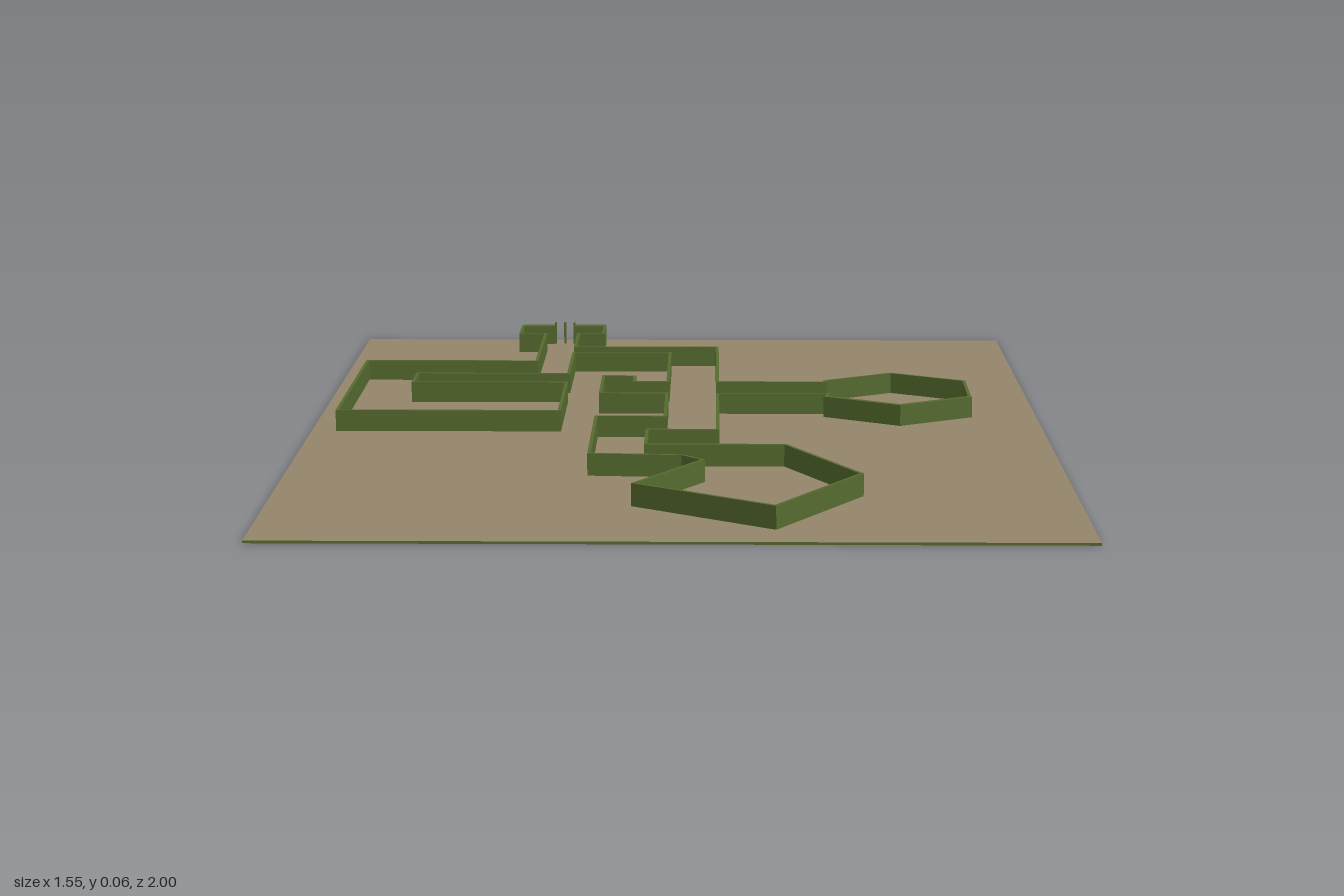
import * as THREE from 'three';

const WALL_H = 0.05, FLOOR_H = 0.005;

export function createModel() {
  const model = new THREE.Group();
  const olive = new THREE.MeshStandardMaterial({ color: 0x556b2f });
  olive.name = 'olive green';
  const sand = new THREE.MeshStandardMaterial({ color: 0x95856b });
  sand.name = 'sandy brown';

  // Ground slab: brown on top, green on the sides and underneath
  const slab = new THREE.Mesh(
    new THREE.BoxGeometry(1.55, FLOOR_H, 2),
    [olive, olive, sand, olive, olive, olive]
  );
  slab.position.y = FLOOR_H / 2;
  slab.name = 'groundSlab';
  model.add(slab);

  // One straight wall between two [x, z] points
  const addWall = (parent, a, b, thickness, name) => {
    const dx = b[0] - a[0], dz = b[1] - a[1];
    const wall = new THREE.Mesh(
      new THREE.BoxGeometry(Math.hypot(dx, dz) + 0.006, WALL_H - 0.002, thickness), olive);
    wall.position.set((a[0] + b[0]) / 2, WALL_H / 2 + 0.001, (a[1] + b[1]) / 2);
    wall.rotation.y = Math.atan2(-dz, dx);
    wall.name = name;
    parent.add(wall);
  };
  const addRun = (name, points, thickness = 0.007) => {
    const run = new THREE.Group();
    run.name = name;
    for (let i = 1; i < points.length; i++) {
      addWall(run, points[i - 1], points[i], thickness, 'wallSegment');
    }
    model.add(run);
  };

  // Western corridor walls, from the gate down to the pentagon room
  addRun('westWalls', [
    [-0.39, -0.95], [-0.39, -0.84], [-0.33, -0.84], [-0.33, -0.49], [-0.72, -0.49],
    [-0.72, 0.065], [-0.25, 0.065], [-0.25, -0.24], [-0.59, -0.24], [-0.59, -0.34],
    [-0.25, -0.34], [-0.25, -0.595], [-0.025, -0.595], [-0.025, -0.25], [-0.1, -0.25],
    [-0.1, -0.315], [-0.17, -0.315], [-0.17, -0.12], [-0.025, -0.12], [-0.025, 0.12],
    [-0.17, 0.12], [-0.17, 0.475], [0.015, 0.488],
  ]);

  // Pentagon room
  addRun('pentagonRoom', [
    [0.015, 0.488], [0.055, 0.53], [-0.075, 0.73], [0.19, 0.905], [0.36, 0.645], [0.22, 0.39],
  ]);

  // Corridor from the pentagon room to the hexagon room
  addRun('southEastWalls', [
    [0.22, 0.39], [-0.06, 0.39], [-0.06, 0.25], [0.085, 0.25], [0.085, -0.12],
    [0.325, -0.12], [0.32, -0.09],
  ]);

  // Hexagon room, with heavier walls on its near side
  addRun('hexagonNearWalls', [[0.32, -0.09], [0.475, -0.002], [0.63, -0.09]], 0.012);
  addRun('hexagonFarWalls', [
    [0.63, -0.09], [0.632, -0.265], [0.475, -0.352], [0.325, -0.265], [0.325, -0.25],
  ]);

  // Corridor from the hexagon room back to the gate
  addRun('northEastWalls', [
    [0.325, -0.25], [0.085, -0.25], [0.085, -0.665], [-0.25, -0.665], [-0.25, -0.84],
    [-0.19, -0.84], [-0.19, -0.95],
  ]);

  // Entrance gate: two thick walls and slim raised posts beside the gap
  addRun('gateWallRight', [[-0.387, -0.95], [-0.315, -0.95]], 0.02);
  addRun('gateWallLeft', [[-0.263, -0.95], [-0.193, -0.95]], 0.02);
  for (const x of [-0.311, -0.288, -0.265]) {
    const post = new THREE.Mesh(new THREE.BoxGeometry(0.005, 0.056, 0.006), olive);
    post.position.set(x, 0.029, -0.95);
    post.name = 'gatePost';
    model.add(post);
  }
  return model;
}
